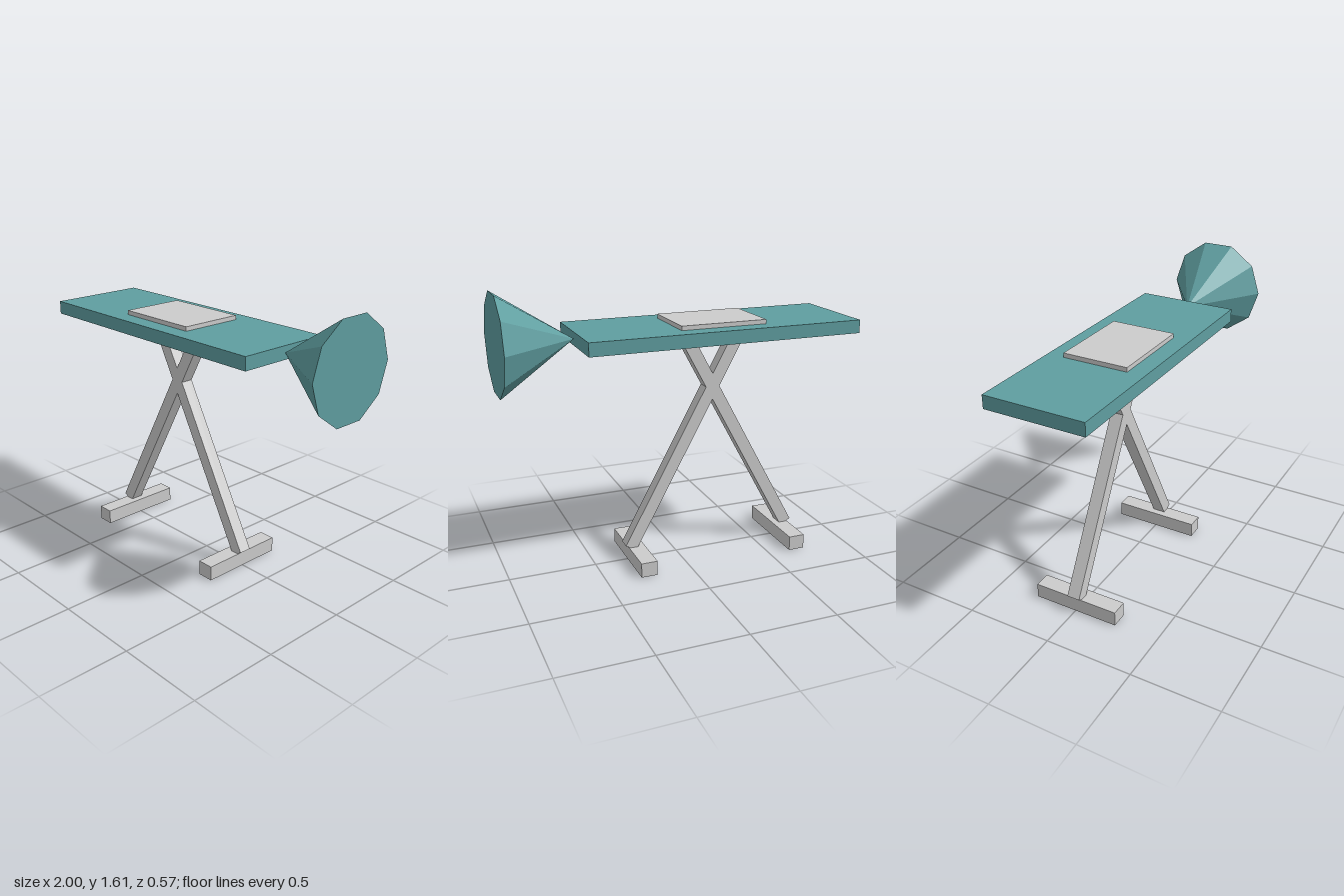
import * as THREE from 'three';

const grey = new THREE.MeshStandardMaterial({ color: 0xcccccc, flatShading: true });
const teal = new THREE.MeshStandardMaterial({ color: 0x5f9ea0, flatShading: true });

const STAND_X = -0.21; // centre line of the crossed stand

function addMesh(parent, name, geometry, material, x, y, z = 0) {
  const mesh = new THREE.Mesh(geometry, material);
  mesh.name = name;
  mesh.position.set(x, y, z);
  parent.add(mesh);
  return mesh;
}

export function createModel() {
  const model = new THREE.Group();
  model.name = 'crossLeggedTable';

  // Long flat board with a thin pad on top
  addMesh(model, 'board', new THREE.BoxGeometry(1.58, 0.075, 0.566), teal, -0.21, 1.337);
  addMesh(model, 'pad', new THREE.BoxGeometry(0.5, 0.025, 0.37), grey, STAND_X, 1.3865);

  // Ten-sided cone, its tip touching the end of the board
  const cone = addMesh(model, 'endCone', new THREE.ConeGeometry(0.282, 0.42, 10), teal, 0.79, 1.337);
  cone.rotation.z = Math.PI / 2;

  // Crossed legs, each ending on a foot bar
  const halfSpan = 0.503, crossY = 1.005, bottomY = 0.083, topY = 1.325;
  const slope = halfSpan / (crossY - bottomY);
  const angle = Math.atan(slope);
  const length = (topY - bottomY) / Math.cos(angle);
  const midY = (topY + bottomY) / 2;
  for (const side of [-1, 1]) {
    const prefix = side > 0 ? 'left' : 'right';
    const leg = addMesh(model, prefix + 'Leg', new THREE.BoxGeometry(0.072, length, 0.074), grey,
      STAND_X + side * (crossY - midY) * slope, midY);
    leg.rotation.z = side * angle;
    addMesh(model, prefix + 'Foot', new THREE.BoxGeometry(0.095, 0.085, 0.5), grey,
      STAND_X + side * 0.4675, 0.0425);
  }

  return model;
}
